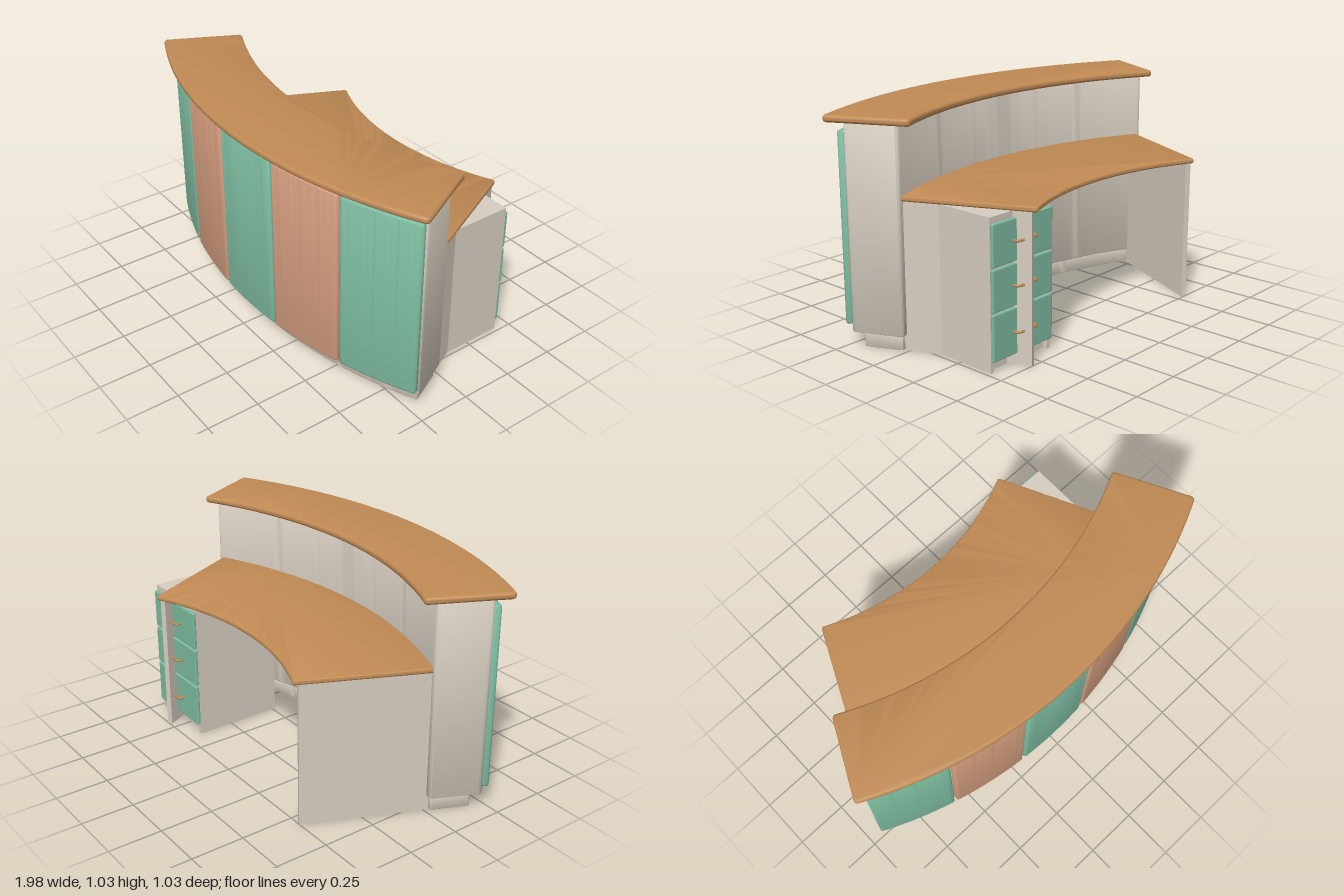
import * as THREE from 'three';
import { toCreasedNormals } from 'three/addons/utils/BufferGeometryUtils.js';
import { RoundedBoxGeometry } from 'three/addons/geometries/RoundedBoxGeometry.js';

const CZ = -1.69; // z of the centre that all arcs share
const rad = THREE.MathUtils.degToRad;

function material(name, color) {
  const m = new THREE.MeshStandardMaterial({ color });
  m.name = name;
  return m;
}

// Curved slab between two radii and two angles (degrees from +z towards +x),
// with rounded upright corners of size c and rounded rims of size b.
function arcSlab(r0, r1, a0, a1, y0, y1, b, c) {
  const lo = r0 + b, hi = r1 - b;
  const at = (r, a) => [r * Math.sin(a), -CZ - r * Math.cos(a)];
  const s = rad(a0), e = rad(a1);
  const sIn = s + b / lo, eIn = e - b / lo, sOut = s + b / hi, eOut = e - b / hi;
  const q = -Math.PI / 2;
  const shape = new THREE.Shape();
  shape.moveTo(...at(hi, sOut + c / hi));
  shape.absarc(0, -CZ, hi, q + sOut + c / hi, q + eOut - c / hi, false);
  shape.quadraticCurveTo(...at(hi, eOut), ...at(hi - c, eOut));
  shape.lineTo(...at(lo + c, eIn));
  shape.quadraticCurveTo(...at(lo, eIn), ...at(lo, eIn - c / lo));
  shape.absarc(0, -CZ, lo, q + eIn - c / lo, q + sIn + c / lo, true);
  shape.quadraticCurveTo(...at(lo, sIn), ...at(lo + c, sIn));
  shape.lineTo(...at(hi - c, sOut));
  shape.quadraticCurveTo(...at(hi, sOut), ...at(hi, sOut + c / hi));
  const geo = new THREE.ExtrudeGeometry(shape, {
    depth: y1 - y0 - 2 * b, curveSegments: 28,
    bevelEnabled: true, bevelSize: b, bevelThickness: b, bevelSegments: 4,
  });
  geo.rotateX(-Math.PI / 2);
  geo.translate(0, y0 + b, 0);
  return toCreasedNormals(geo, rad(38));
}

export function createModel() {
  const model = new THREE.Group();
  model.name = 'receptionDesk';
  const wood = material('wood', 0xc08a54);
  const cream = material('cream', 0xd6cdc0);
  const green = material('green', 0x7cba9f);
  const salmon = material('salmon', 0xd09a7c);

  const add = (name, geo, mat, parent = model) => {
    const mesh = new THREE.Mesh(geo, mat);
    mesh.name = name;
    parent.add(mesh);
    return mesh;
  };

  // Curved counter: plinth, body and top
  add('plinth', arcSlab(1.895, 2.075, -25.4, 25.4, 0, 0.08, 0.004, 0.006), cream);
  add('counterBody', arcSlab(1.88, 2.125, -26.1, 26.1, 0.07, 1.002, 0.008, 0.014), cream);
  add('counterTop', arcSlab(1.815, 2.2, -27, 27, 1.0, 1.032, 0.013, 0.006), wood);

  // Five front panels in alternating colours
  const pitch = 10.44;
  for (let i = -2; i <= 2; i++) {
    add('frontPanel', arcSlab(2.118, 2.155, i * pitch - 5.1, i * pitch + 5.1, 0.103, 0.963, 0.011, 0.003),
      i % 2 ? salmon : green);
  }

  // Lower work surface and its two side legs
  add('workSurface', arcSlab(1.29, 1.89, -25.5, 25.5, 0.672, 0.695, 0.009, 0.004), wood);
  for (const side of [-1, 1]) {
    const pivot = new THREE.Group();
    pivot.name = 'sideLeg';
    pivot.position.z = CZ;
    pivot.rotation.y = side * rad(24.7);
    add('legPanel', new THREE.BoxGeometry(0.025, 0.674, 0.575), cream, pivot)
      .position.set(0, 0.337, 1.6025);
    model.add(pivot);
  }

  // Drawer pedestal with a recessed toe
  const pedestal = new THREE.Group();
  pedestal.name = 'drawerPedestal';
  pedestal.position.x = 0.547;
  model.add(pedestal);
  const block = (name, w, h, d, x, y, z) =>
    add(name, new THREE.BoxGeometry(w, h, d), cream, pedestal).position.set(x, y, z);
  block('pedestalCore', 0.33, 0.672, 0.415, 0, 0.336, -0.1925);
  block('pedestalFront', 0.33, 0.622, 0.03, 0, 0.361, -0.41);
  for (const side of [-1, 1]) block('pedestalSide', 0.018, 0.672, 0.44, side * 0.174, 0.336, -0.205);

  // Drawer fronts and bow handles
  const handlePath = new THREE.CatmullRomCurve3([
    [-0.06, 0], [-0.06, -0.018], [-0.05, -0.027], [0, -0.028], [0.05, -0.027], [0.06, -0.018], [0.06, 0],
  ].map(([x, z]) => new THREE.Vector3(x, 0, z)));
  const handleGeo = new THREE.TubeGeometry(handlePath, 36, 0.006, 8);
  for (const [y0, y1] of [[0.05, 0.258], [0.266, 0.452], [0.46, 0.645]]) {
    const y = (y0 + y1) / 2;
    add('drawerFront', new RoundedBoxGeometry(0.364, y1 - y0, 0.017, 3, 0.006), green, pedestal)
      .position.set(0, y, -0.4325);
    add('drawerHandle', handleGeo, wood, pedestal).position.set(0, y, -0.438);
  }
  return model;
}
